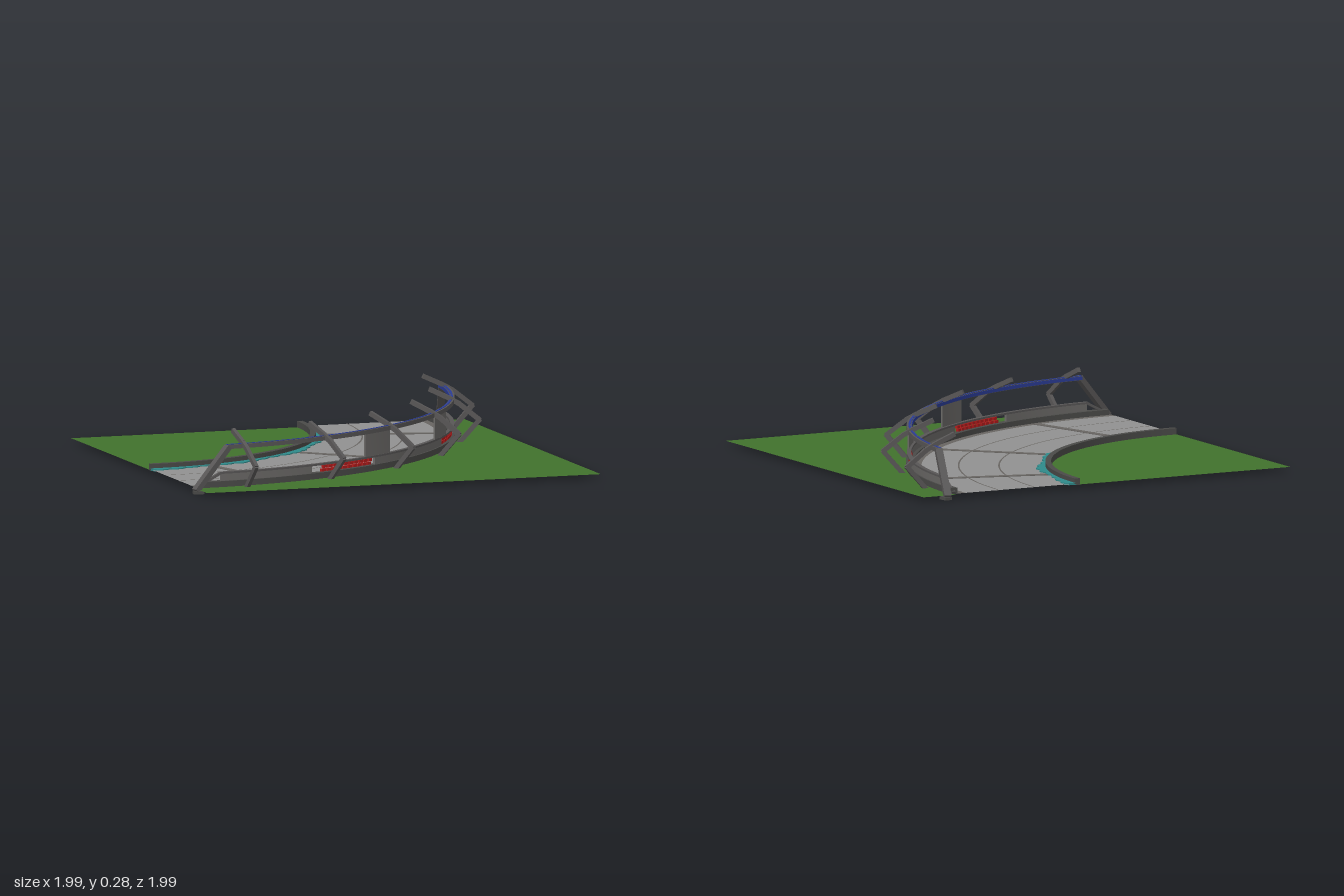
import * as THREE from 'three';
import { mergeGeometries, toCreasedNormals } from 'three/addons/utils/BufferGeometryUtils.js';

const C = -0.96; // centre of the bend in x and z
const RAD = Math.PI / 180;

function material(name, color) {
  const m = new THREE.MeshStandardMaterial({ color, side: THREE.DoubleSide });
  m.name = name;
  return m;
}

export function createModel() {
  const model = new THREE.Group();
  model.name = 'curvedTrackSection';
  const grass = material('grass green', 0x41722c);
  const asphalt = material('asphalt grey', 0x919191);
  const seam = material('seam grey', 0x686562);
  const steel = material('steel grey', 0x585656);
  const curb = material('dark curb', 0x4a4a48);
  const panel = material('panel grey', 0x6a6866);
  const teal = material('teal', 0x2f8a8a);
  const blue = material('blue', 0x2b3c96);
  const red = material('red', 0xb01c1c);

  function add(name, geometry, mat, parent = model) {
    const mesh = new THREE.Mesh(geometry, mat);
    mesh.name = name;
    parent.add(mesh);
    return mesh;
  }

  // everything on the bend is placed by angle (from +z towards +x), radius and height
  const polar = (deg, r, y) =>
    new THREE.Vector3(C + r * Math.sin(deg * RAD), y, C + r * Math.cos(deg * RAD));

  // flat strip of the bend
  function strip(name, r0, r1, y, mat, a0 = 0, a1 = 90) {
    const pts = [new THREE.Vector2(r1, y), new THREE.Vector2(r0, y)];
    const g = new THREE.LatheGeometry(pts, Math.max(2, Math.ceil((a1 - a0) / 1.5)), a0 * RAD, (a1 - a0) * RAD);
    return add(name, g.translate(C, 0, C), mat);
  }

  // solid bar of rectangular section swept round the bend, with end caps
  function bar(name, r0, r1, y0, y1, mat, a0 = 0, a1 = 90) {
    const pts = [[r0, y0], [r1, y0], [r1, y1], [r0, y1], [r0, y0]].map(p => new THREE.Vector2(...p));
    const sweep = new THREE.LatheGeometry(pts, Math.max(2, Math.ceil((a1 - a0) / 2)), a0 * RAD, (a1 - a0) * RAD);
    const parts = [toCreasedNormals(sweep, 0.6)];
    for (const a of [a0, a1]) {
      const cap = new THREE.ShapeGeometry(new THREE.Shape(pts.slice(0, 4)));
      parts.push(cap.rotateY(a * RAD - Math.PI / 2).toNonIndexed());
    }
    return add(name, mergeGeometries(parts).translate(C, 0, C), mat);
  }

  // straight box beam between two points
  function beam(name, p, q, w, h, mat, parent = model) {
    const mesh = add(name, new THREE.BoxGeometry(w, h, p.distanceTo(q) + h * 0.4), mat, parent);
    mesh.position.copy(p).add(q).multiplyScalar(0.5);
    mesh.lookAt(q);
    return mesh;
  }

  // grass either side of the track
  const inner = new THREE.Shape().moveTo(0, 0).lineTo(1.135, 0);
  inner.absarc(0, 0, 1.135, 0, Math.PI / 2, false);
  const outer = new THREE.Shape().moveTo(1.79, 0).lineTo(1.96, 0).lineTo(1.96, 1.96).lineTo(0, 1.96).lineTo(0, 1.79);
  outer.absarc(0, 0, 1.79, Math.PI / 2, 0, true);
  for (const [name, shape] of [['innerGrass', inner], ['outerGrass', outer]]) {
    add(name, new THREE.ShapeGeometry(shape, 60).rotateX(Math.PI / 2).translate(C, 0.02, C), grass);
  }

  // road surface, shoulder, lane lines and slab joints
  strip('road', 1.13, 1.735, 0.025, asphalt);
  strip('shoulder', 1.735, 1.78, 0.025, seam);
  for (const r of [1.37, 1.56]) {
    strip('laneLine', r - 0.004, r + 0.004, 0.027, seam);
    strip('laneLineUnderside', r - 0.004, r + 0.004, 0.023, seam);
  }
  for (const a of [15, 45, 75]) {
    const joint = add('slabJoint', new THREE.BoxGeometry(0.034, 0.004, 0.575), seam);
    joint.position.copy(polar(a, 1.45, 0.0262));
    joint.rotation.y = a * RAD;
  }

  // inner curb with a ragged teal edge
  bar('innerCurb', 1.125, 1.152, 0.018, 0.05, curb);
  const ragged = new THREE.Shape().moveTo(1.13, 0);
  for (let i = 0; i <= 180; i++) {
    const a = (i / 180) * Math.PI / 2;
    const r = 1.172 + 0.016 * Math.abs(Math.sin(a * 42)) + 0.012 * Math.sin(a * 17 + 1);
    ragged.lineTo(r * Math.cos(a), r * Math.sin(a));
  }
  ragged.lineTo(0, 1.13);
  ragged.absarc(0, 0, 1.13, Math.PI / 2, 0, true);
  const edge = new THREE.ExtrudeGeometry(ragged, { depth: 0.01, bevelEnabled: false, curveSegments: 60 });
  add('tealEdge', edge.rotateX(Math.PI / 2).translate(C, 0.03, C), teal);

  // outer barrier: base, wall sections, handrail
  bar('barrierBase', 1.77, 1.808, 0.022, 0.05, curb, 0.5, 89.5);
  for (const [a0, a1] of [[4, 20], [33.5, 56.5], [70, 86]]) {
    bar('barrierWall', 1.788, 1.8, 0.05, 0.085, panel, a0, a1);
  }
  bar('handrail', 1.783, 1.804, 0.084, 0.093, steel, 4, 86);

  // two rows of red blocks in each barrier opening
  for (const start of [22, 57]) {
    const group = new THREE.Group();
    group.name = 'redBlocks';
    model.add(group);
    for (let row = 0; row < 2; row++) {
      for (let i = 0; i < 10; i++) {
        const a = start + 0.4 + i * 1.1 + row * 0.3;
        const block = add('redBlock', new THREE.BoxGeometry(0.025, 0.013, 0.012), red, group);
        block.position.copy(polar(a, 1.79, 0.059 + row * 0.016));
        block.rotation.y = a * RAD;
      }
    }
  }

  // boards above the barrier
  for (const a of [34.2, 55.8]) bar('board', 1.795, 1.803, 0.088, 0.2, panel, a - 3.1, a + 3.1);

  // top rail with blue strips
  bar('topRail', 1.783, 1.805, 0.2, 0.22, steel, 5, 85);
  bar('blueRailSide', 1.779, 1.783, 0.202, 0.218, blue, 5, 85);
  bar('blueRailTop', 1.786, 1.796, 0.22, 0.222, blue, 5, 85);

  // bent ribs
  const ribProfile = [[1.69, 0.268], [1.785, 0.225], [1.83, 0.2], [1.925, 0.125], [1.825, 0.01]];
  for (let i = 0; i < 6; i++) {
    const a = 7.8 + i * 14.88;
    const rib = new THREE.Group();
    rib.name = 'rib';
    model.add(rib);
    for (let k = 0; k < 4; k++) {
      beam('ribSegment', polar(a, ...ribProfile[k]), polar(a, ...ribProfile[k + 1]), 0.018, 0.022, steel, rib);
    }
  }

  // sloping braces at both ends, mirrored across the diagonal
  for (const swap of [false, true]) {
    const V = (x, y, z) => (swap ? new THREE.Vector3(z, y, x) : new THREE.Vector3(x, y, z));
    beam('endBrace', V(-0.8, 0.208, 0.832), V(-0.972, 0.018, 0.878), 0.034, 0.026, steel);
    beam('blueBraceStrip', V(-0.8, 0.222, 0.828), V(-0.965, 0.038, 0.872), 0.01, 0.004, blue);
    beam('braceFoot', V(-0.985, 0.008, 0.88), V(-0.94, 0.008, 0.885), 0.036, 0.014, curb);
    beam('railEnd', V(-0.835, 0.088, 0.83), V(-0.945, 0.03, 0.832), 0.018, 0.012, steel);
  }
  return model;
}
